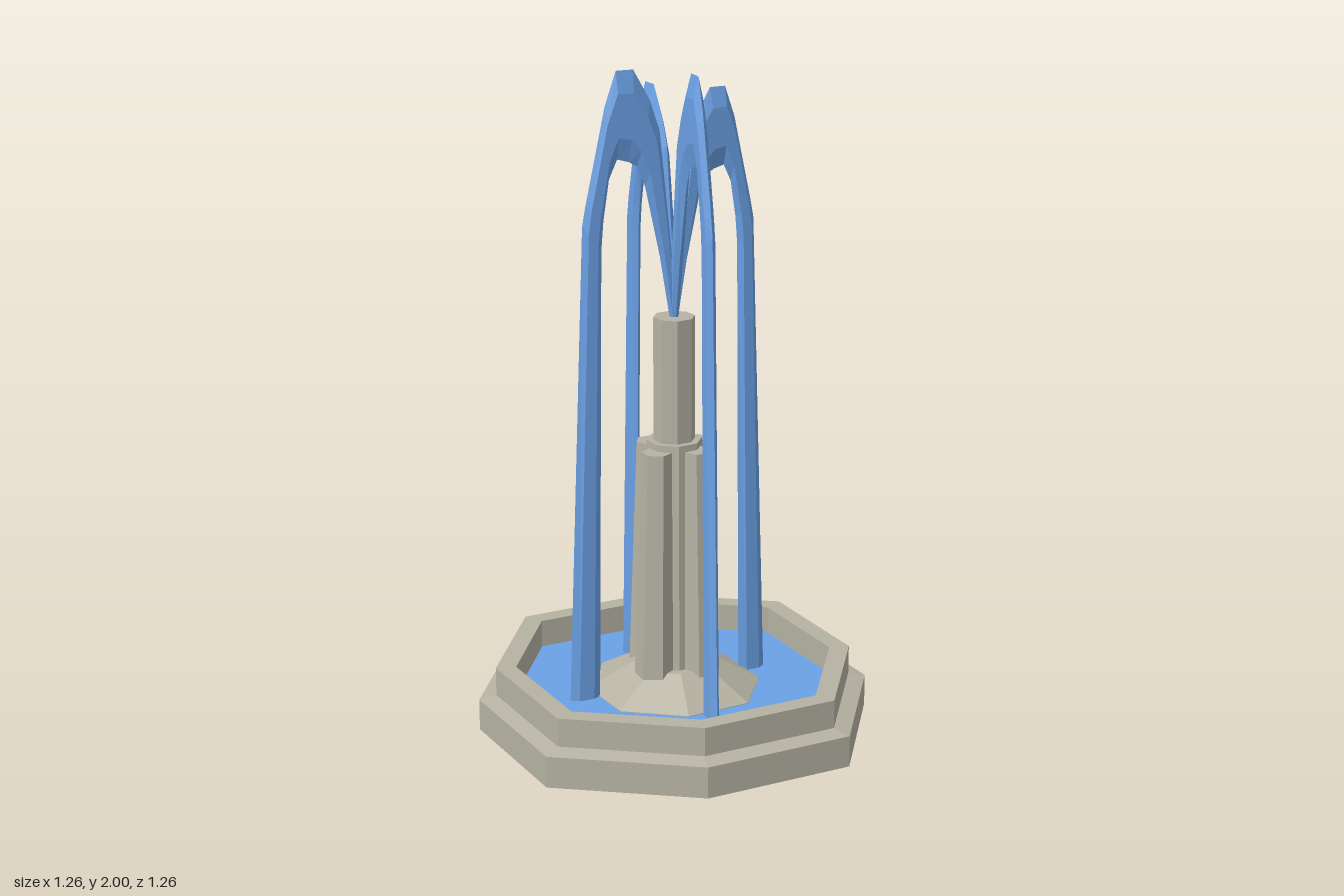
import * as THREE from 'three';

const stone = new THREE.MeshStandardMaterial({ color: 0xb5b2a3, flatShading: true });
const blue = new THREE.MeshStandardMaterial({ color: 0x6ba1e6, flatShading: true });

function addMesh(parent, name, geometry, material) {
  const mesh = new THREE.Mesh(geometry, material);
  mesh.name = name;
  parent.add(mesh);
  return mesh;
}

// Eight-sided solid from a [radius, y] profile; diagonal corners are pulled in slightly.
function octagonLathe(profile, pull = 0.943) {
  const geometry = new THREE.LatheGeometry(profile.map(([r, y]) => new THREE.Vector2(r, y)), 8);
  const p = geometry.attributes.position;
  for (let i = 0; i < p.count; i++) {
    const x = p.getX(i), z = p.getZ(i), r = Math.hypot(x, z);
    if (Math.min(Math.abs(x), Math.abs(z)) > 0.3 * r) {
      p.setX(i, x * pull);
      p.setZ(i, z * pull);
    }
  }
  geometry.computeVertexNormals();
  return geometry;
}

// Leaning hexagonal pillar, offset along +z.
function pillarGeometry() {
  const bottom = 0.12, top = 0.87;
  const geometry = new THREE.CylinderGeometry(0.046, 0.061, top - bottom, 6);
  geometry.translate(0, (top + bottom) / 2, 0);
  const p = geometry.attributes.position;
  for (let i = 0; i < p.count; i++) {
    const t = (p.getY(i) - bottom) / (top - bottom);
    p.setZ(i, p.getZ(i) + THREE.MathUtils.lerp(0.101, 0.086, t));
  }
  geometry.computeVertexNormals();
  return geometry;
}

// Jet cross-sections: outer radius, outer y, inner radius, inner y.
const jetSections = [
  [-0.012, 1.25, 0.012, 1.25],
  [0.012, 1.5, 0.045, 1.45],
  [0.045, 1.82, 0.09, 1.66],
  [0.075, 1.91, 0.115, 1.72],
  [0.125, 2.0, 0.14, 1.735],
  [0.178, 2.0, 0.175, 1.745],
  [0.212, 1.9, 0.2, 1.69],
  [0.272, 1.62, 0.218, 1.57],
  [0.283, 1.56, 0.225, 1.48],
  [0.335, 0.1, 0.24, 0.1],
];

// Thin blade of water arching along +x, six-sided in section.
function jetGeometry(reach, peak) {
  const sides = 6, base = 1.27, rise = (peak - base) / (2 - base);
  const lift = (y) => (y > base ? base + (y - base) * rise : y);
  const positions = [], index = [];
  jetSections.forEach(([ro, yo, ri, yi], s) => {
    const thick = s === 0 ? 0.012 : 0.017;
    for (let k = 0; k < sides; k++) {
      const a = (k / sides) * Math.PI * 2, t = (1 - Math.cos(a)) / 2;
      positions.push(
        THREE.MathUtils.lerp(ro, ri, t) * reach,
        lift(THREE.MathUtils.lerp(yo, yi, t)),
        Math.sin(a) * thick);
    }
    if (s === 0) return;
    for (let k = 0; k < sides; k++) {
      const a = (s - 1) * sides + k, b = (s - 1) * sides + (k + 1) % sides;
      index.push(a, b, a + sides, b, b + sides, a + sides);
    }
  });
  // End caps
  const last = (jetSections.length - 1) * sides;
  for (let k = 1; k < sides - 1; k++) {
    index.push(0, k + 1, k, last, last + k, last + k + 1);
  }
  const geometry = new THREE.BufferGeometry();
  geometry.setAttribute('position', new THREE.Float32BufferAttribute(positions, 3));
  geometry.setIndex(index);
  geometry.computeVertexNormals();
  return geometry;
}

export function createModel() {
  const model = new THREE.Group();
  model.name = 'fountain';

  // Stepped basin with a recessed underside
  addMesh(model, 'basin', octagonLathe([
    [0, 0.05], [0.622, 0.05], [0.622, 0], [0.63, 0], [0.63, 0.096],
    [0.575, 0.108], [0.575, 0.195], [0.51, 0.195], [0.51, 0.08],
  ]), stone);
  addMesh(model, 'poolWater', octagonLathe([[0.51, 0.11], [0, 0.11]]), blue);

  // Sloping mound under the column
  addMesh(model, 'mound', octagonLathe([[0.272, 0.1], [0.272, 0.112], [0.13, 0.19], [0, 0.19]], 0.965), stone);

  // Central column and nozzle
  addMesh(model, 'column', octagonLathe([[0.1, 0.12], [0.083, 0.89], [0, 0.89]], 1), stone);
  addMesh(model, 'nozzle', octagonLathe([[0.062, 0.85], [0.062, 1.265], [0, 1.265]], 1), stone);

  // Four pillars around the column
  const pillars = new THREE.Group();
  pillars.name = 'pillars';
  model.add(pillars);
  const pillar = pillarGeometry();
  for (let i = 0; i < 4; i++) {
    addMesh(pillars, 'pillar', pillar, stone).rotation.y = i * Math.PI / 2;
  }

  // Four arching jets: end point x, z and peak height
  const jets = new THREE.Group();
  jets.name = 'waterJets';
  model.add(jets);
  const ends = [[0.28, 0.172, 2], [-0.172, 0.293, 2], [-0.293, -0.138, 1.93], [0.138, -0.28, 1.93]];
  for (const [x, z, peak] of ends) {
    const jet = addMesh(jets, 'waterJet', jetGeometry(Math.hypot(x, z) / 0.335, peak), blue);
    jet.rotation.y = Math.atan2(-z, x);
  }

  return model;
}
